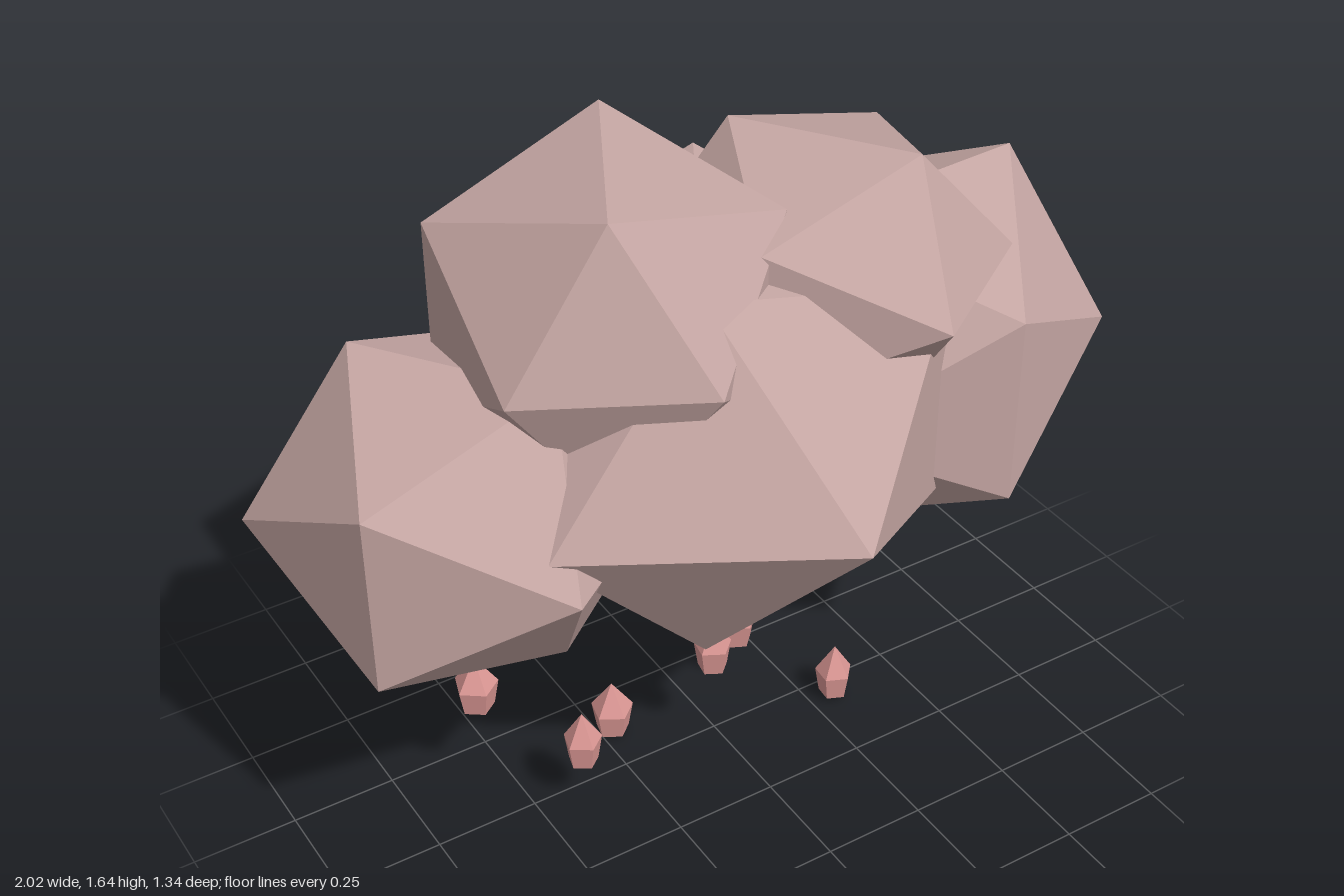
import * as THREE from 'three';

const cloudMat = new THREE.MeshStandardMaterial({ color: 0xc4a5a2 });
cloudMat.name = 'dusty cloud';
const dropMat = new THREE.MeshStandardMaterial({ color: 0xdb9794 });
dropMat.name = 'pink rain';

// Faceted puff: an icosahedron reshaped by its three crossed rectangles,
// upright = [x, y], level = [x, z], side = [y, z] as half sizes.
function makePuff(name, centre, yaw, upright, level, side) {
  const geo = new THREE.IcosahedronGeometry(1, 0);
  const p = geo.attributes.position;
  for (let i = 0; i < p.count; i++) {
    const [x, y, z] = [p.getX(i), p.getY(i), p.getZ(i)];
    const sx = Math.sign(x), sy = Math.sign(y), sz = Math.sign(z);
    if (Math.abs(z) < 0.1) p.setXYZ(i, sx * upright[0], sy * upright[1], 0);
    else if (Math.abs(y) < 0.1) p.setXYZ(i, sx * level[0], 0, sz * level[1]);
    else p.setXYZ(i, 0, sy * side[0], sz * side[1]);
  }
  geo.computeVertexNormals();
  const mesh = new THREE.Mesh(geo, cloudMat);
  mesh.name = name;
  mesh.position.set(...centre);
  mesh.rotation.y = yaw;
  return mesh;
}

// Five-sided raindrop with a pointed top and a shallow pointed base
function makeDropGeometry() {
  const profile = [[0, 0], [0.041, 0.014], [0.053, 0.08], [0, 0.157]]
    .map(([r, y]) => new THREE.Vector2(r, y));
  const geo = new THREE.LatheGeometry(profile, 5).toNonIndexed();
  geo.computeVertexNormals();
  return geo;
}

export function createModel() {
  const model = new THREE.Group();
  model.name = 'rainCloud';

  // Cloud body
  const cloud = new THREE.Group();
  cloud.name = 'cloud';
  cloud.add(
    makePuff('middlePuff', [-0.04, 1.0, 0], 1.05, [0.331, 0.445], [0.585, 0.322], [0.27, 0.535]),
    makePuff('leftPuff', [0.545, 0.93, -0.06], 0.066, [0.307, 0.4], [0.433, 0.23], [0.235, 0.41]),
    makePuff('rightPuff', [-0.615, 0.922, -0.035], -0.95, [0.236, 0.342], [0.39, 0.23], [0.215, 0.39]),
    makePuff('upperRightPuff', [-0.255, 1.3, -0.015], 1.08, [0.257, 0.34], [0.375, 0.214], [0.21, 0.37]),
    makePuff('upperLeftPuff', [0.245, 1.29, 0.035], -0.97, [0.217, 0.285], [0.37, 0.202], [0.175, 0.34])
  );
  model.add(cloud);

  // Rain falling in two staggered rows
  const rain = new THREE.Group();
  rain.name = 'rain';
  const dropGeo = makeDropGeometry();
  for (let i = 0; i < 7; i++) {
    const drop = new THREE.Mesh(dropGeo, dropMat);
    drop.name = 'raindrop';
    drop.position.set(-0.575 + i * 0.1775, 0.25 - (i % 3) * 0.123, i % 2 ? 0.06 : -0.115);
    drop.rotation.y = i * 1.3;
    const width = i % 2 ? 0.88 : 1;
    drop.scale.set(width, 1, width);
    rain.add(drop);
  }
  model.add(rain);
  return model;
}
